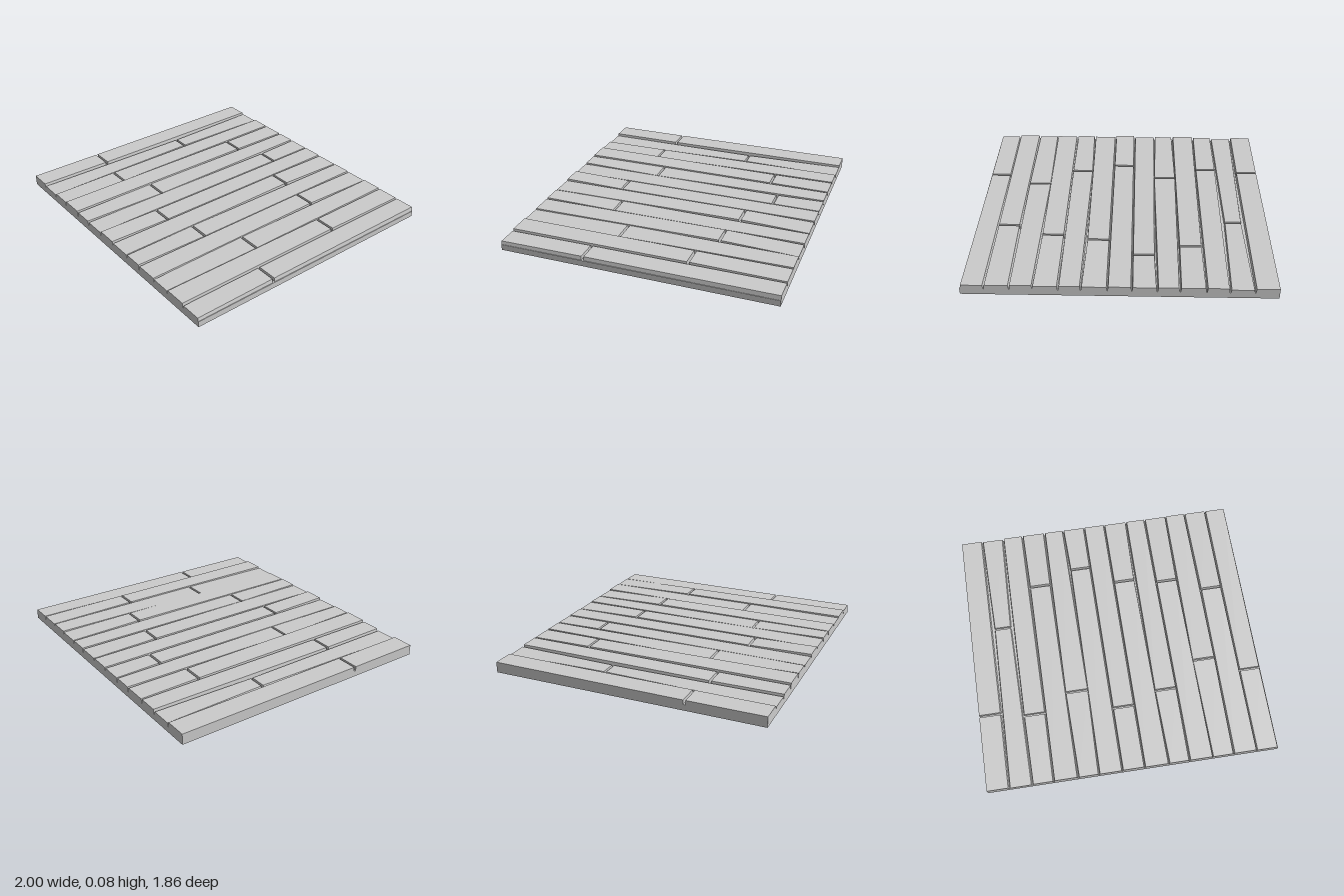
import * as THREE from 'three';

const HALF_Z = 0.93, FLOOR = 0.04, SEAM = 0.008, BEVEL = 0.007;

// One row per plank: left/right edge at the ends, left/right edge at the seam,
// seam z, then top height at back, seam and front
const PLANKS = [
  [-1.0, -0.855, -1.0, -0.853, 0.41, 0.073, 0.07, 0.071],
  [-0.842, -0.7, -0.825, -0.715, -0.22, 0.063, 0.061, 0.057],
  [-0.685, -0.553, -0.69, -0.55, 0.45, 0.073, 0.067, 0.068],
  [-0.54, -0.388, -0.535, -0.392, -0.505, 0.072, 0.073, 0.077],
  [-0.373, -0.245, -0.384, -0.232, 0.33, 0.073, 0.068, 0.072],
  [-0.232, -0.085, -0.222, -0.085, -0.6, 0.071, 0.07, 0.067],
  [-0.073, 0.068, -0.073, 0.068, 0.49, 0.073, 0.071, 0.079],
  [0.08, 0.235, 0.08, 0.223, -0.45, 0.07, 0.076, 0.07],
  [0.247, 0.376, 0.236, 0.38, 0.41, 0.073, 0.071, 0.074],
  [0.39, 0.54, 0.388, 0.53, -0.405, 0.07, 0.078, 0.071],
  [0.548, 0.684, 0.538, 0.69, 0.23, 0.076, 0.07, 0.066],
  [0.695, 0.843, 0.7, 0.841, -0.3, 0.073, 0.076, 0.074],
  [0.855, 0.992, 0.853, 0.99, 0.35, 0.071, 0.066, 0.063],
];

const material = new THREE.MeshStandardMaterial({ color: 0xcccccc, flatShading: true });

// A tapered board between two ends {z, left, right, top}; sides lean in to the top
function board(back, front, name) {
  const geometry = new THREE.BoxGeometry(1, 1, 1);
  const p = geometry.attributes.position;
  for (let i = 0; i < p.count; i++) {
    const end = p.getZ(i) > 0 ? front : back;
    const upper = p.getY(i) > 0;
    const side = Math.sign(p.getX(i));
    const edge = side > 0 ? end.right : end.left;
    const outer = Math.abs(edge) === 1; // flush with the slab edge
    const flare = upper || outer ? 0 : BEVEL * 0.7;
    p.setXYZ(i, edge + side * flare, upper ? end.top : FLOOR, end.z);
  }
  // leave out the hidden underside
  const index = Array.from(geometry.index.array);
  index.splice(18, 6);
  geometry.setIndex(index);
  geometry.clearGroups();
  geometry.computeVertexNormals();
  const mesh = new THREE.Mesh(geometry, material);
  mesh.name = name;
  return mesh;
}

export function createModel() {
  const floor = new THREE.Group();
  floor.name = 'plankFloor';

  // Slab under the boards, seen at the bottom of the grooves
  const slab = new THREE.Mesh(new THREE.BoxGeometry(2, FLOOR, HALF_Z * 2), material);
  slab.position.y = FLOOR / 2;
  slab.name = 'baseSlab';
  floor.add(slab);

  // Each plank is two boards meeting at a narrow cross seam
  PLANKS.forEach(([l, r, seamL, seamR, z, hBack, hSeam, hFront], i) => {
    const plank = new THREE.Group();
    plank.name = `plank${i + 1}`;
    const end = (zPos, left, right, top) => ({ z: zPos, left, right, top });
    plank.add(
      board(end(-HALF_Z, l, r, hBack), end(z - SEAM, seamL, seamR, hSeam), 'backBoard'),
      board(end(z + SEAM, seamL, seamR, hSeam), end(HALF_Z, l, r, hFront), 'frontBoard'),
    );
    floor.add(plank);
  });
  return floor;
}
